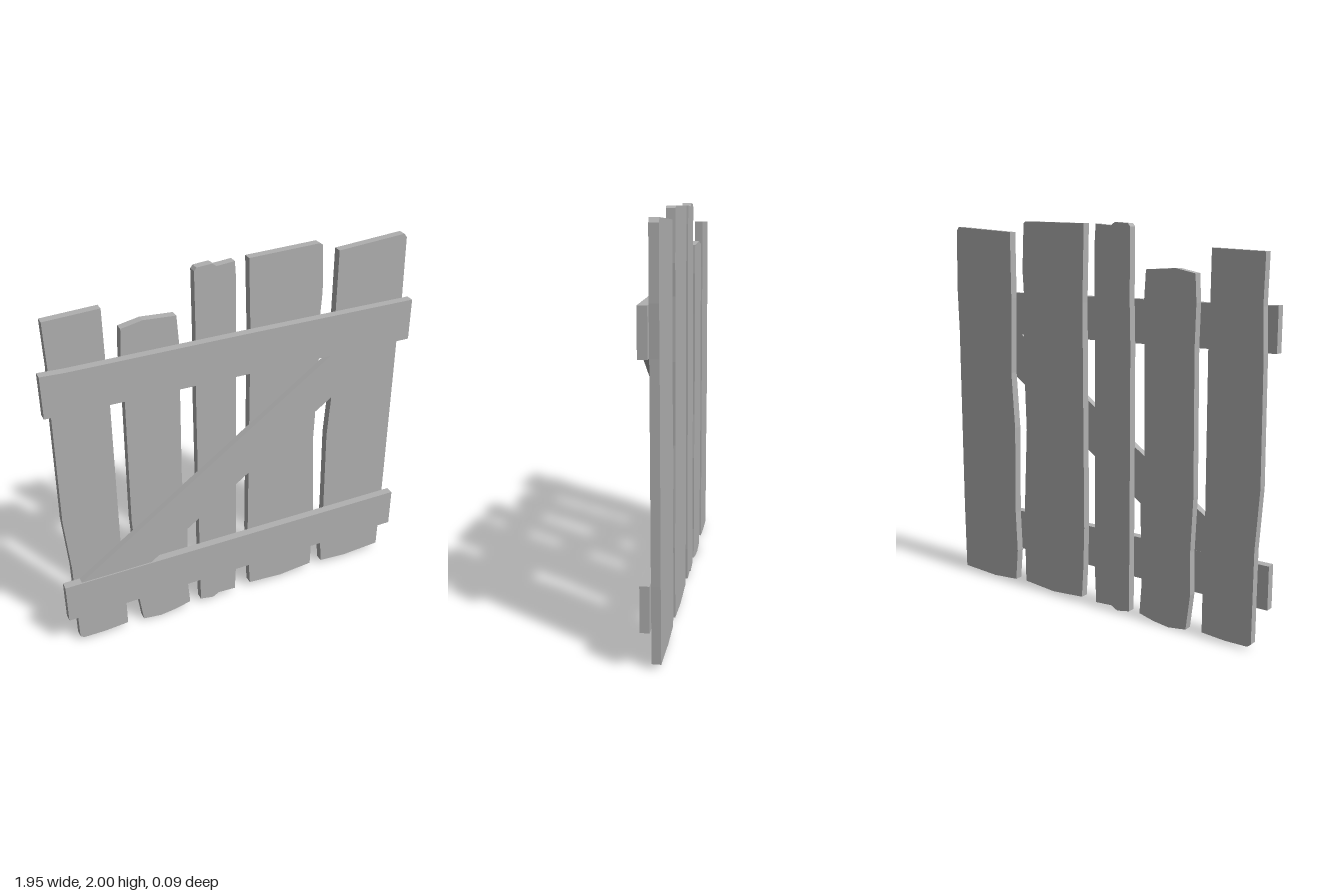
import * as THREE from 'three';

const wood = new THREE.MeshStandardMaterial({ color: 0xb0b0b0 });
wood.name = 'greyWood';

// Flat board cut from an outline, extruded from z0 to z1
function board(name, outline, z0, z1) {
  const shape = new THREE.Shape(outline.map(([x, y]) => new THREE.Vector2(x, y)));
  const geometry = new THREE.ExtrudeGeometry(shape, { depth: z1 - z0, bevelEnabled: false });
  geometry.translate(0, 0, z0);
  const mesh = new THREE.Mesh(geometry, wood);
  mesh.name = name;
  return mesh;
}

// Worn upright planks, outlines counter-clockwise from the lower left
const planks = [
  [[-0.92, 0.035], [-0.9, 0.02], [-0.78, 0.018], [-0.652, 0.027], [-0.652, 0.2], [-0.658, 0.42],
    [-0.653, 1.42], [-0.658, 1.63], [-0.66, 1.882], [-0.93, 1.87], [-0.925, 1.63], [-0.935, 1.42],
    [-0.942, 0.8], [-0.922, 0.5]],
  [[-0.56, 0.017], [-0.46, 0.003], [-0.37, 0.014], [-0.285, 0.035], [-0.297, 0.2], [-0.29, 0.42],
    [-0.286, 0.62], [-0.308, 0.86], [-0.3, 1.41], [-0.296, 1.63], [-0.305, 1.776], [-0.47, 1.786],
    [-0.577, 1.765], [-0.585, 1.63], [-0.58, 1.42], [-0.59, 0.7], [-0.578, 0.42], [-0.582, 0.2]],
  [[-0.22, 0.028], [-0.145, 0.014], [-0.11, 0.034], [-0.01, 0.028], [-0.002, 0.2], [-0.002, 1.9],
    [-0.008, 1.988], [-0.1, 1.98], [-0.122, 1.996], [-0.2, 1.99], [-0.212, 1.975], [-0.212, 1.63],
    [-0.218, 1.4], [-0.22, 0.6]],
  [[0.085, 0.035], [0.28, 0.02], [0.475, 0.037], [0.48, 0.4], [0.455, 0.9], [0.467, 1.3],
    [0.458, 1.6], [0.467, 1.75], [0.455, 1.99], [0.44, 2], [0.065, 1.99], [0.075, 1.6],
    [0.068, 0.42], [0.075, 0.2]],
  [[0.55, 0.03], [0.71, 0.018], [0.93, 0.03], [0.935, 0.4], [0.935, 1.4], [0.942, 1.63],
    [0.935, 1.95], [0.92, 1.97], [0.55, 1.945], [0.548, 1.6], [0.558, 1.2], [0.538, 0.9],
    [0.545, 0.42], [0.535, 0.2]],
];

const topRail = [[-0.978, 1.42], [-0.2, 1.413], [0.975, 1.404], [0.975, 1.625], [0, 1.63],
  [-0.86, 1.63], [-0.978, 1.635]];
const bottomRail = [[-0.978, 0.207], [0, 0.205], [0.975, 0.2], [0.975, 0.418], [0.2, 0.421], [-0.978, 0.425]];
const brace = [[-0.89, 0.424], [-0.51, 0.424], [0.28, 0.985], [0.89, 1.405], [0.52, 1.408]];

export function createModel() {
  const gate = new THREE.Group();
  gate.name = 'plankGate';

  planks.forEach((outline, i) => gate.add(board(`plank${i + 1}`, outline, -0.043, 0)));

  // Crosspieces on the front, with a slightly thinner diagonal brace
  gate.add(
    board('topRail', topRail, 0, 0.044),
    board('bottomRail', bottomRail, 0, 0.044),
    board('diagonalBrace', brace, 0, 0.037),
  );
  return gate;
}
